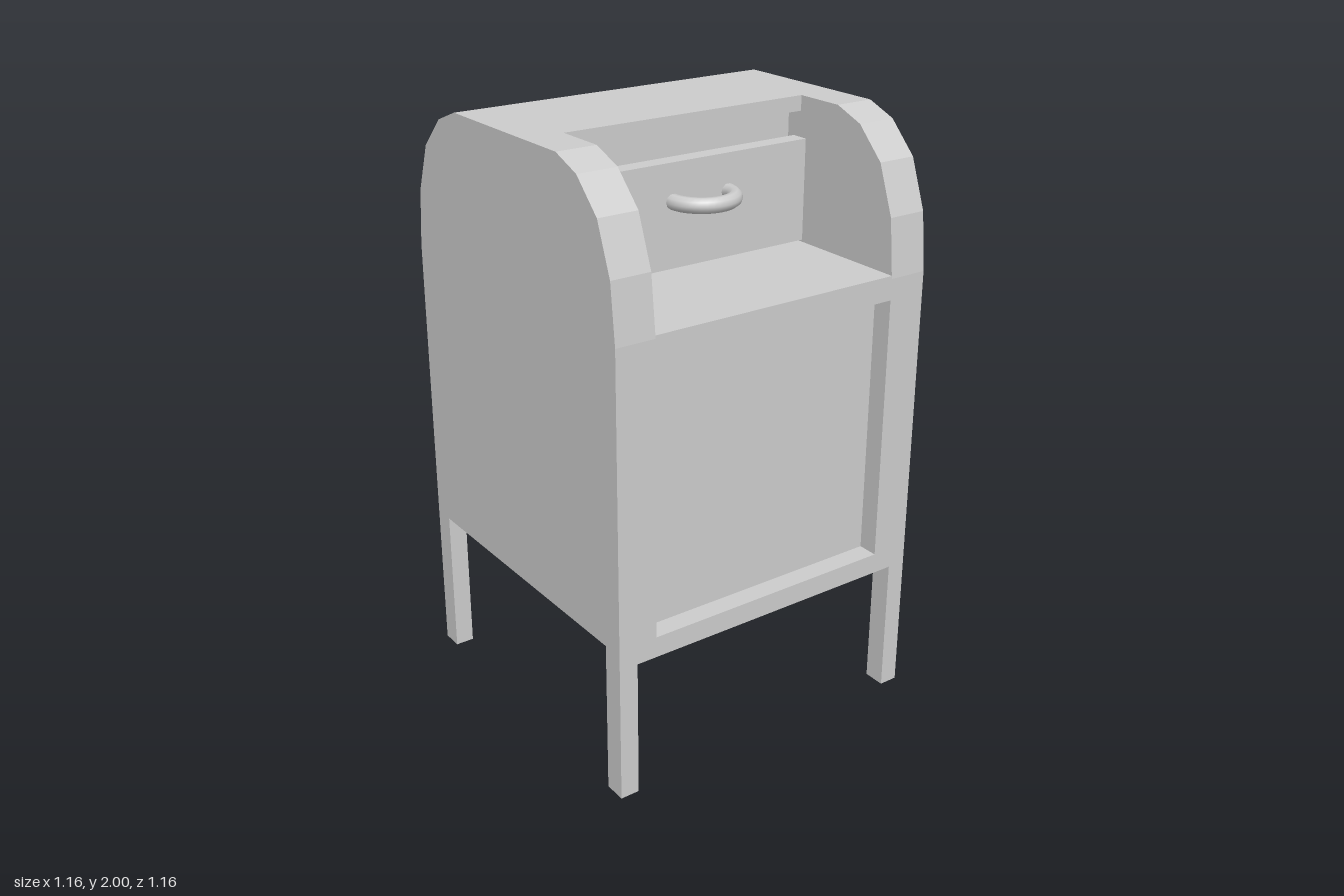
import * as THREE from 'three';

export function createModel() {
  const group = new THREE.Group();
  const paint = new THREE.MeshStandardMaterial({ color: 0xcccccc });
  paint.name = 'light grey paint';

  const add = (name, geometry, x = 0, y = 0, z = 0) => {
    const mesh = new THREE.Mesh(geometry, paint);
    mesh.name = name;
    mesh.position.set(x, y, z);
    group.add(mesh);
    return mesh;
  };
  // Extrudes an outline in x and y from z0 to z1
  const slab = (name, points, z0, z1) => {
    const shape = new THREE.Shape(points.map(([x, y]) => new THREE.Vector2(x, y)));
    add(name, new THREE.ExtrudeGeometry(shape, { depth: z1 - z0, bevelEnabled: false }), 0, 0, z0);
  };

  const W = 0.58, cut = 0.445, floor = 0.52;
  // Faceted shoulder, from the side wall up to the flat roof
  const shoulder = [[W, 1.51], [0.56, 1.7], [0.5, 1.86], [0.4, 1.96], [0.295, 2]];
  const leftShoulder = shoulder.map(([x, y]) => [-x, y]).reverse();

  // Full-height end walls, either side of the mail slot
  const endWall = [[-W, floor], [W, floor], ...shoulder, ...leftShoulder];
  slab('frontEndWall', endWall, cut, W);
  slab('backEndWall', endWall, -W, -cut);

  // Middle of the body, with the sunken side panel, shelf and slot opening
  slab('body', [
    [-W, floor], [W, floor], [W, 0.54],
    [0.51, 0.54], [0.51, 1.44], [W, 1.44],
    [W, 1.52], [0.12, 1.52], [0.12, 1.55],
    [0.06, 1.55], [0.06, 1.95], [0.12, 1.95],
    [0.12, 2], ...leftShoulder,
  ], -cut, cut);

  // Lower rails and legs
  for (const sx of [-1, 1]) {
    add('lowerRail', new THREE.BoxGeometry(0.075, 0.05, 1.03), sx * 0.5425, 0.495, 0);
    for (const sz of [-1, 1]) {
      add('leg', new THREE.BoxGeometry(0.075, floor, 0.065), sx * 0.5425, floor / 2, sz * 0.5475);
    }
  }

  // Slot door and its half-ring handle
  add('slotDoor', new THREE.BoxGeometry(0.06, 0.335, 0.836), 0.15, 1.7075, 0);
  const handle = add('doorHandle', new THREE.TorusGeometry(0.105, 0.025, 10, 20, Math.PI), 0.185, 1.755, 0);
  handle.rotation.set(Math.PI / 2, 0, -Math.PI / 2);

  return group;
}
